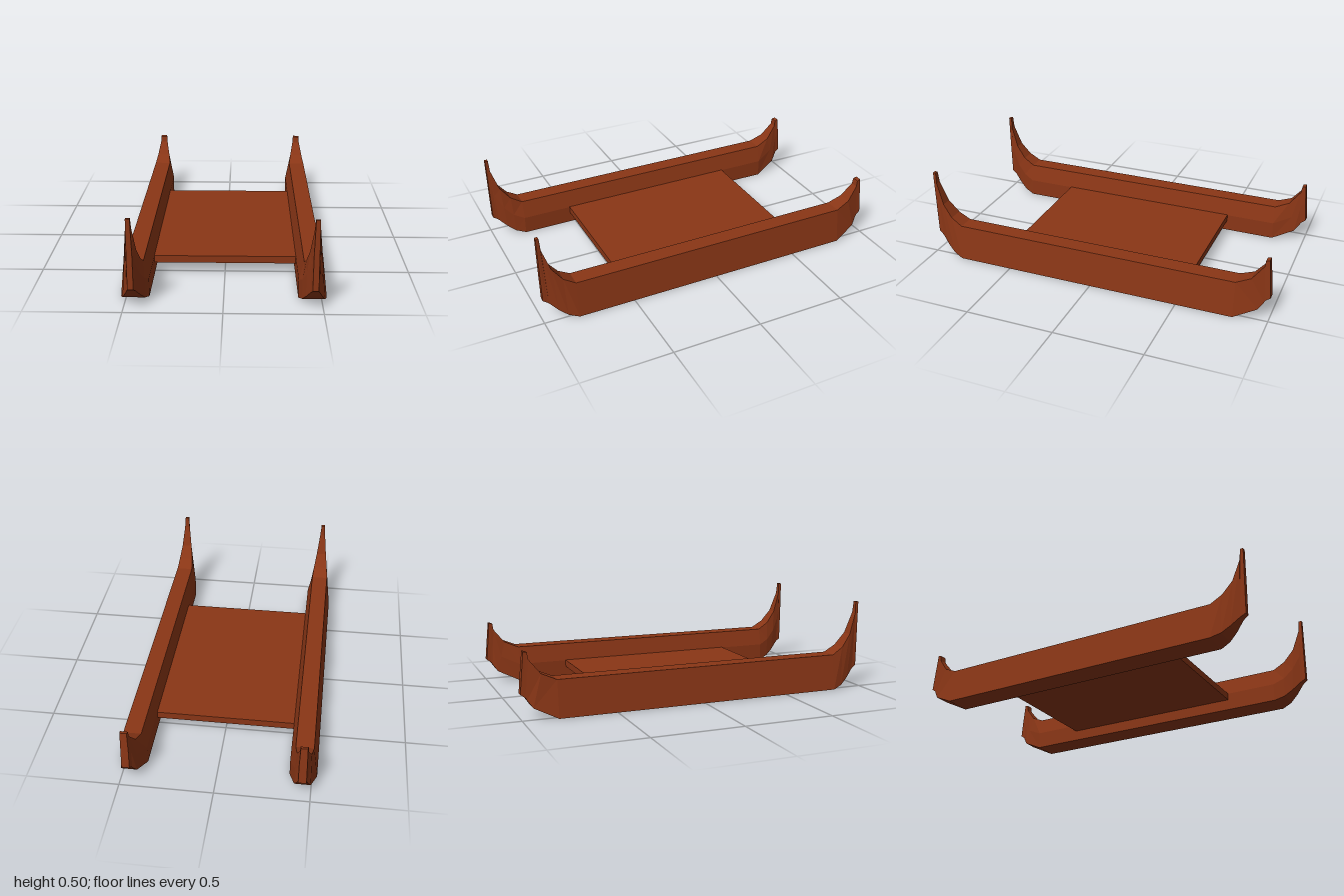
import * as THREE from 'three';

const material = new THREE.MeshStandardMaterial({ color: 0x8a3616, flatShading: true });
const HULL_X = 0.455;

// Hull stations, stern to bow: [zBottom, yBottom, zTop, yTop, halfWidthBottom, halfWidthTop]
const stations = [
  [-1.0, 0.13, -0.98, 0.35, 0.021, 0.018],
  [-0.975, 0.113, -0.96, 0.345, 0.025, 0.02],
  [-0.968, 0.10, -0.955, 0.31, 0.027, 0.022],
  [-0.94, 0.06, -0.895, 0.235, 0.043, 0.038],
  [-0.815, 0, -0.815, 0.2, 0.073, 0.048],
  [0.815, 0, 0.815, 0.2, 0.073, 0.048],
  [0.87, 0.02, 0.88, 0.24, 0.058, 0.042],
  [0.915, 0.055, 0.935, 0.31, 0.042, 0.03],
  [0.96, 0.10, 0.976, 0.43, 0.022, 0.016],
  [0.97, 0.107, 0.98, 0.495, 0.019, 0.011],
  [0.99, 0.12, 0.997, 0.495, 0.015, 0.011],
];

// Five-sided section: sloping outer side, inner side upright up to a knee
function section([zb, yb, zt, yt, wb, wt]) {
  return [
    [wb, yb, zb],
    [wt, yt, zt],
    [-wt, yt, zt],
    [-wb, (yb + yt) / 2, (zb + zt) / 2],
    [-wb, yb, zb],
  ];
}

// Lofts the sections; side = 1 for the left hull, -1 for its mirror image
function hullGeometry(side) {
  const n = 5, last = (stations.length - 1) * n;
  const points = stations.flatMap(section).map(([x, y, z]) => [side * x, y, z]);
  const index = [];
  const tri = (a, b, c) => (side > 0 ? index.push(a, b, c) : index.push(a, c, b));
  for (let i = 0; i < last; i += n) {
    for (let k = 0; k < n; k++) {
      const j = (k + 1) % n;
      tri(i + k, i + j, i + n + j);
      tri(i + k, i + n + j, i + n + k);
    }
  }
  // End caps
  for (let k = 1; k < n - 1; k++) {
    tri(last, last + k, last + k + 1);
    tri(0, k + 1, k);
  }
  const indexed = new THREE.BufferGeometry();
  indexed.setAttribute('position', new THREE.Float32BufferAttribute(points.flat(), 3));
  indexed.setIndex(index);
  const geometry = indexed.toNonIndexed();
  geometry.computeVertexNormals();
  return geometry;
}

export function createModel() {
  const model = new THREE.Group();
  model.name = 'catamaran';

  // Twin hulls with raised bow and stern
  for (const side of [1, -1]) {
    const hull = new THREE.Mesh(hullGeometry(side), material);
    hull.name = side > 0 ? 'leftHull' : 'rightHull';
    hull.position.x = side * HULL_X;
    model.add(hull);
  }

  // Flat deck joining the hulls
  const deck = new THREE.Mesh(new THREE.BoxGeometry(0.766, 0.04, 1.06), material);
  deck.name = 'deck';
  deck.position.y = 0.082;
  model.add(deck);

  return model;
}
